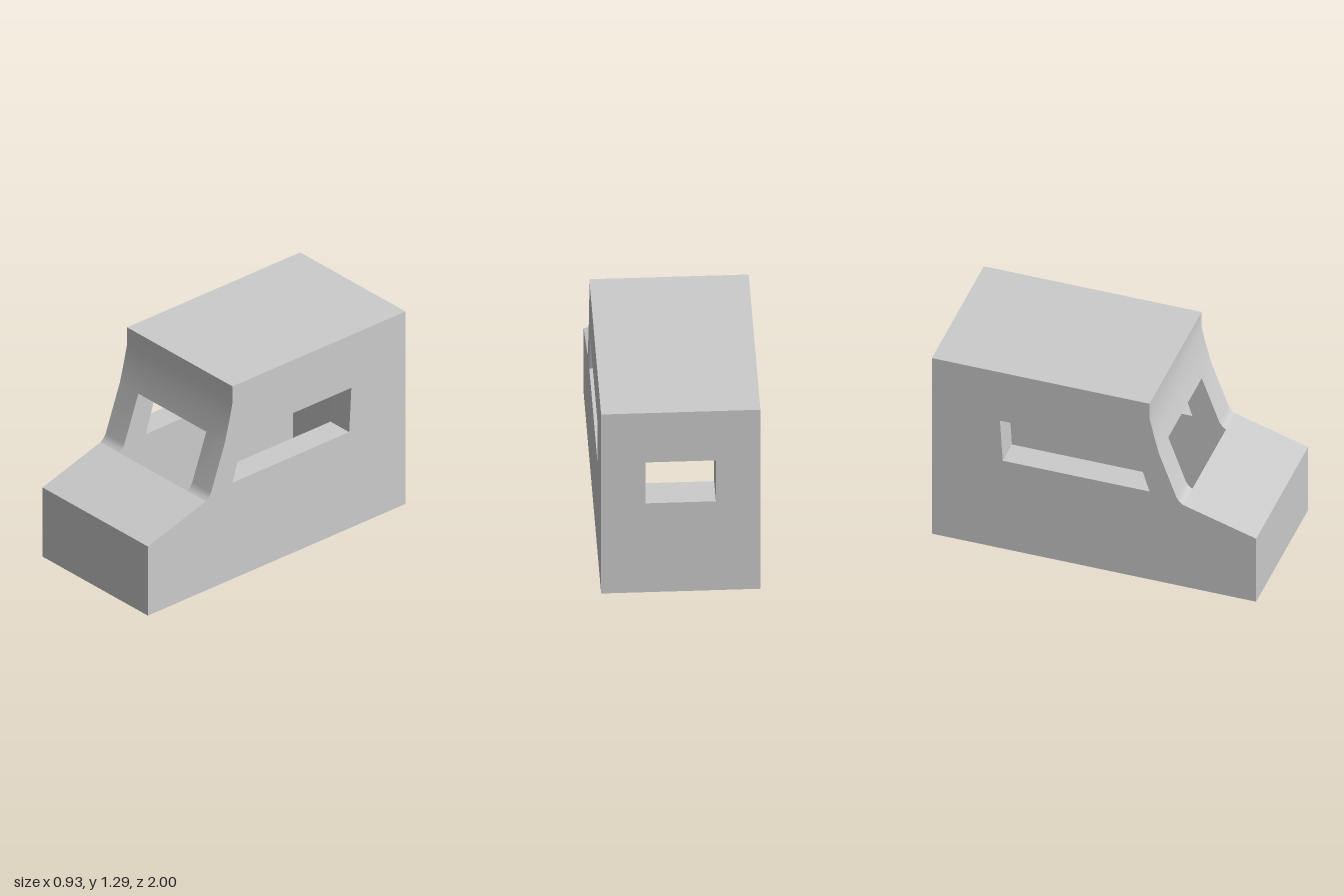
import * as THREE from 'three';

const W = 0.465, IN = 0.3;            // outer and inner half widths
const BACK = -1, IN_BACK = -0.8;      // outer and inner rear wall
const TOP = 1.29, CEIL = 0.938;       // roof and ceiling heights

// points below are [z, y]
const windscreenCurve = [[0.55, 0.598], [0.53, 0.612], [0.51, 0.64], [0.401, CEIL], [0.37, 1.06], [0.343, 1.18], [0.343, TOP]];
const outerProfile = [[1, 0], [1, 0.463], ...windscreenCurve, [BACK, TOP], [BACK, 0]];
const innerProfile = [[0.55, 0], ...windscreenCurve.slice(0, 4), [IN_BACK, CEIL], [IN_BACK, 0]];
const sideWindow = [[-0.58, 0.935], [0.252, 0.935], [0.343, 0.645], [-0.563, 0.645]];
const rearWindow = [[-0.205, 0.935], [0.205, 0.935], [0.205, 0.64], [-0.205, 0.64]];

const rect = (x, y0, y1) => [[-x, y0], [x, y0], [x, y1], [-x, y1]];

export function createModel() {
  const model = new THREE.Group();
  const material = new THREE.MeshStandardMaterial({ color: 0xcccccc, side: THREE.DoubleSide });

  function add(name, geometry) {
    const mesh = new THREE.Mesh(geometry, material);
    mesh.name = name;
    model.add(mesh);
    return mesh;
  }

  // sweep a [z, y] path across the given x stations, leaving out skipped cells
  function sweep(path, xs, { smooth = false, skip = () => false } = {}) {
    const positions = [], index = [], n = xs.length;
    for (const [z, y] of path) for (const x of xs) positions.push(x, y, z);
    for (let i = 0; i < path.length - 1; i++) {
      for (let j = 0; j < n - 1; j++) {
        if (skip(i, j)) continue;
        const a = i * n + j, b = a + 1, d = a + n, c = d + 1;
        index.push(a, b, c, a, c, d);
      }
    }
    let geometry = new THREE.BufferGeometry();
    geometry.setAttribute('position', new THREE.Float32BufferAttribute(positions, 3));
    geometry.setIndex(index);
    if (!smooth) geometry = geometry.toNonIndexed();
    geometry.computeVertexNormals();
    return geometry;
  }

  // flat plate with an optional opening
  function plate(outline, hole) {
    const vectors = (pts) => pts.map(([u, v]) => new THREE.Vector2(u, v));
    const shape = new THREE.Shape(vectors(outline));
    if (hole) shape.holes.push(new THREE.Path(vectors(hole)));
    return new THREE.ShapeGeometry(shape);
  }

  // plate in the z-y plane at x, facing +x or -x
  function sidePlate(outline, x, facing) {
    const flip = (pts) => pts.map(([z, y]) => [-facing * z, y]);
    return plate(flip(outline), flip(sideWindow)).rotateY(facing * Math.PI / 2).translate(x, 0, 0);
  }

  const closed = (pts) => [...pts, pts[0]];

  // outer skin
  add('noseAndHood', sweep(outerProfile.slice(0, 3), [-W, W]));
  add('windscreenFrame', sweep(windscreenCurve, [-W, -IN, IN, W], {
    smooth: true,
    skip: (i, j) => j === 1 && i < 3,
  }));
  add('roof', sweep([[0.343, TOP], [BACK, TOP]], [-W, W]));
  add('rearPanel', plate(rect(W, 0, TOP), rearWindow).rotateY(Math.PI).translate(0, 0, BACK));
  add('underside', plate(rect(W, BACK, 1), rect(IN, IN_BACK, 0.55)).rotateX(Math.PI / 2));

  // hollow cabin, open below
  add('cabinCeiling', sweep([[IN_BACK, CEIL], [0.401, CEIL]], [-IN, IN]));
  add('cabinFrontWall', sweep([[0.55, 0.598], [0.55, 0]], [-IN, IN]));
  add('cabinRearWall', plate(rect(IN, 0, CEIL), rearWindow).translate(0, 0, IN_BACK));
  add('rearWindowReveal', sweep(closed(rearWindow), [-IN_BACK, -BACK]).rotateY(Math.PI / 2));

  // side walls with their window openings
  for (const s of [1, -1]) {
    const side = s > 0 ? 'left' : 'right';
    add(`${side}SidePanel`, sidePlate(outerProfile, s * W, s));
    add(`${side}CabinWall`, sidePlate(innerProfile, s * IN, -s));
    add(`${side}WindowReveal`, sweep(closed(sideWindow), s > 0 ? [IN, W] : [-W, -IN]));
  }

  return model;
}
